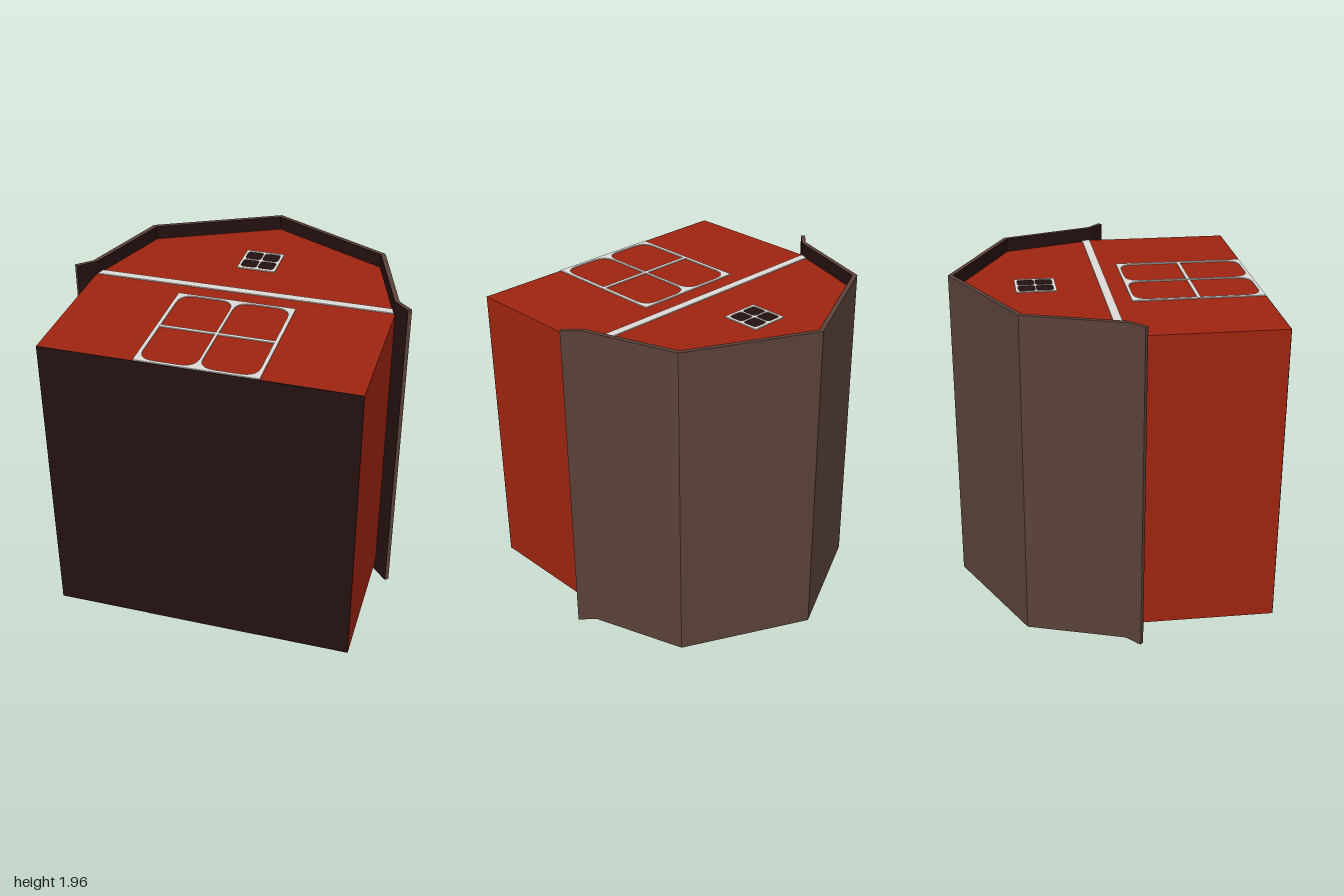
import * as THREE from 'three';

const mat = (name, color) => new THREE.MeshStandardMaterial({ name, color });

export function createModel() {
  const red = mat('barn red', 0x9e2410);
  const brown = mat('roof brown', 0x5a4139);
  const white = mat('trim white', 0xdcd8d5);
  const dark = mat('dark underside', 0x241010);
  const barn = new THREE.Group();
  barn.name = 'barn';
  const Y0 = 0.085, Y1 = 1.872, ROOF = 1.955;

  const polygon = (pts) => new THREE.Shape(pts.map(([x, v]) => new THREE.Vector2(x, v)));
  const mirror = (pts) => pts.map(([x, v]) => [-x, v]);

  // Extrudes a gable-plane shape (x, v = -z) along y
  function slab(name, shape, material, y, depth, parent = barn) {
    const geo = new THREE.ExtrudeGeometry(shape, { depth, bevelEnabled: false, curveSegments: 5 });
    geo.rotateX(-Math.PI / 2);
    const mesh = new THREE.Mesh(geo, material);
    mesh.name = name;
    mesh.position.y = y;
    parent.add(mesh);
  }

  const rect = (x0, v0, x1, v1) => polygon([[x0, v0], [x1, v0], [x1, v1], [x0, v1]]);

  // Rectangle with rounded corners, used for the openings
  function rounded(x0, v0, x1, v1, r) {
    const p = new THREE.Path();
    p.moveTo(x0 + r, v0);
    p.lineTo(x1 - r, v0);
    p.quadraticCurveTo(x1, v0, x1, v0 + r);
    p.lineTo(x1, v1 - r);
    p.quadraticCurveTo(x1, v1, x1 - r, v1);
    p.lineTo(x0 + r, v1);
    p.quadraticCurveTo(x0, v1, x0, v1 - r);
    p.lineTo(x0, v0 + r);
    p.quadraticCurveTo(x0, v0, x0 + r, v0);
    return p;
  }

  // Roof profile from ridge to eave tip, outer and inner
  const outer = [[0, 0.9], [0.73, 0.54], [0.912, -0.02], [0.995, -0.097]];
  const inner = [[0, 0.87], [0.705, 0.522], [0.885, -0.025], [0.975, -0.114]];
  const middle = outer.map(([x, v], i) => [x + (inner[i][0] - x) * 0.9, v + (inner[i][1] - v) * 0.9]);
  const fullArc = (half) => [...mirror(half.slice(1)).reverse(), ...half];
  const band = (a, b) => polygon([...fullArc(a), ...fullArc(b).reverse()]);
  slab('roof', band(outer, middle), brown, 0, ROOF);
  slab('roofUnderside', band(middle, inner), dark, 0, ROOF);

  // Walls and gables
  const side = [[0.895, -0.896], [0.895, -0.035], inner[2], inner[1]];
  slab('walls', polygon([...side, inner[0], ...mirror(side).reverse()]), red, Y0, Y1 - Y0);

  // Floor
  const floor = new THREE.Mesh(new THREE.BoxGeometry(1.79, Y1 - Y0, 0.004), dark);
  floor.name = 'floor';
  floor.position.set(0, (Y0 + Y1) / 2, 0.898);
  barn.add(floor);

  // Window frame with four panes
  const windowFrame = rect(-0.116, 0.279, 0.116, 0.516);
  for (const s of [-1, 1]) {
    for (const t of [-1, 1]) {
      const x = s * 0.053, v = 0.398 + t * 0.053;
      windowFrame.holes.push(rounded(x - 0.049, v - 0.049, x + 0.049, v + 0.049, 0.024));
    }
  }

  // Double door frame with rounded ends
  const doorFrame = rect(-0.347, -0.896, 0.347, -0.125);
  for (const s of [-1, 1]) {
    const x = s * 0.167;
    doorFrame.holes.push(rounded(x - 0.159, -0.877, x + 0.159, -0.142, 0.09));
  }

  const stripe = polygon([[-0.888, -0.024], [0.888, -0.024], [0.871, 0.025], [-0.871, 0.025]]);

  // Same trim on both gable ends
  for (const top of [true, false]) {
    const end = new THREE.Group();
    end.name = top ? 'upperGableTrim' : 'lowerGableTrim';
    barn.add(end);
    const add = (name, shape, material, t) => slab(name, shape, material, top ? Y1 : Y0 - t, t, end);
    add('stripe', stripe, white, 0.006);
    add('windowPanes', rect(-0.11, 0.285, 0.11, 0.51), dark, 0.003);
    add('windowFrame', windowFrame, white, 0.006);
    add('doorFrame', doorFrame, white, 0.006);
    add('doorCrossbar', rect(-0.33, -0.521, 0.33, -0.5), white, 0.005);
  }
  return barn;
}
